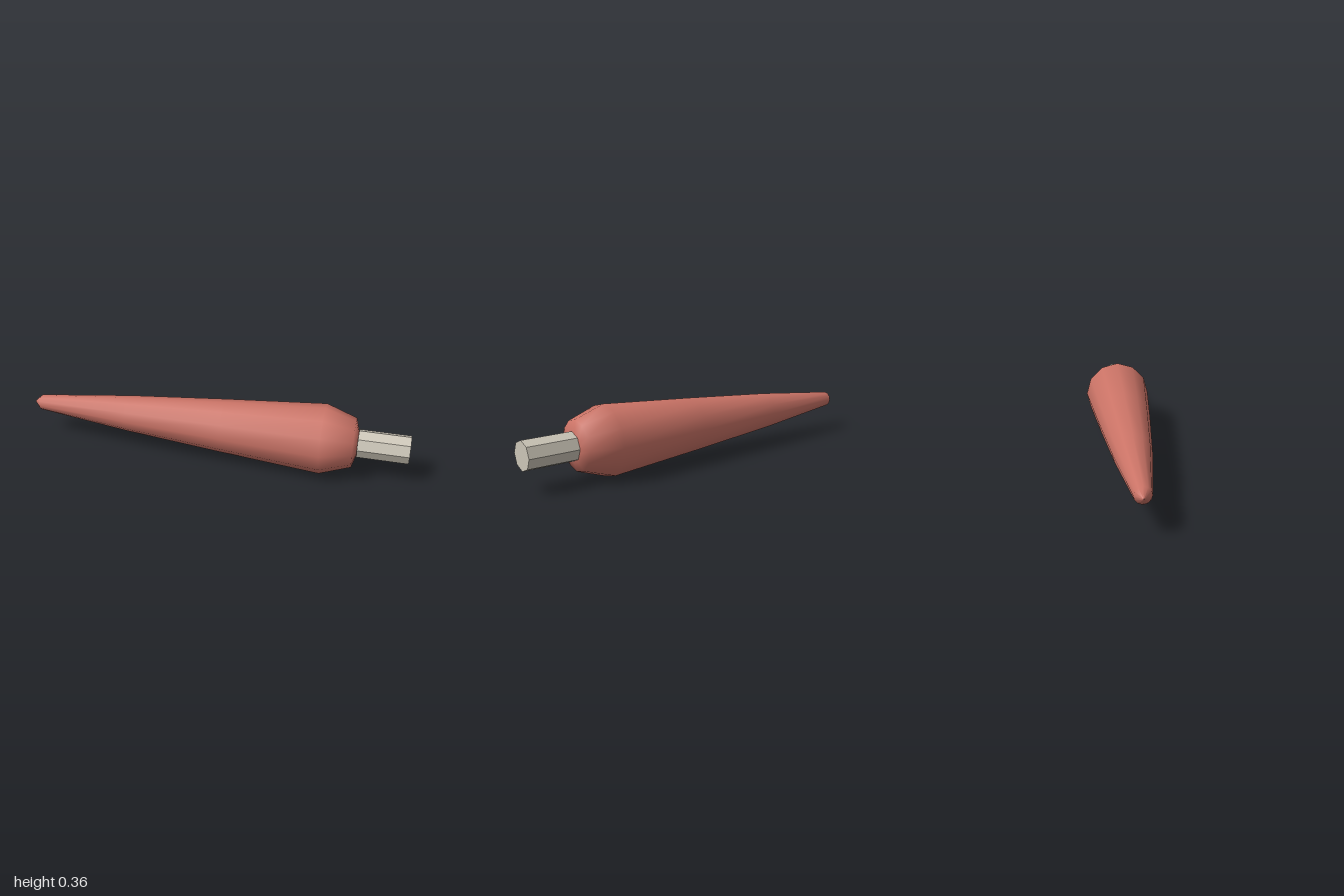
import * as THREE from 'three';

const AXIS_Y = 0.178;

export function createModel() {
  const group = new THREE.Group();

  const red = new THREE.MeshStandardMaterial({ color: 0xca7366 });
  red.name = 'dusty red';
  const grey = new THREE.MeshStandardMaterial({ color: 0xcbc5b7, flatShading: true });
  grey.name = 'warm grey';

  // Tapered body: 12-sided smooth turning, pairs of [position along x, radius]
  const profile = [
    [-1, 0], [-0.96, 0.04], [-0.46, 0.095], [0.06, 0.139],
    [0.57, 0.178], [0.725, 0.125], [0.746, 0.055], [0.747, 0],
  ].map(([x, r]) => new THREE.Vector2(r, x));
  const bodyGeometry = new THREE.LatheGeometry(profile, 12);
  bodyGeometry.rotateZ(-Math.PI / 2);
  const body = new THREE.Mesh(bodyGeometry, red);
  body.name = 'taperedBody';
  body.position.y = AXIS_Y;

  // Octagonal peg at the thick end
  const pegGeometry = new THREE.CylinderGeometry(0.0725, 0.0725, 0.255, 8);
  pegGeometry.rotateZ(-Math.PI / 2);
  const peg = new THREE.Mesh(pegGeometry, grey);
  peg.name = 'peg';
  peg.position.set(1 - 0.255 / 2, AXIS_Y, 0);

  group.add(body, peg);
  return group;
}
